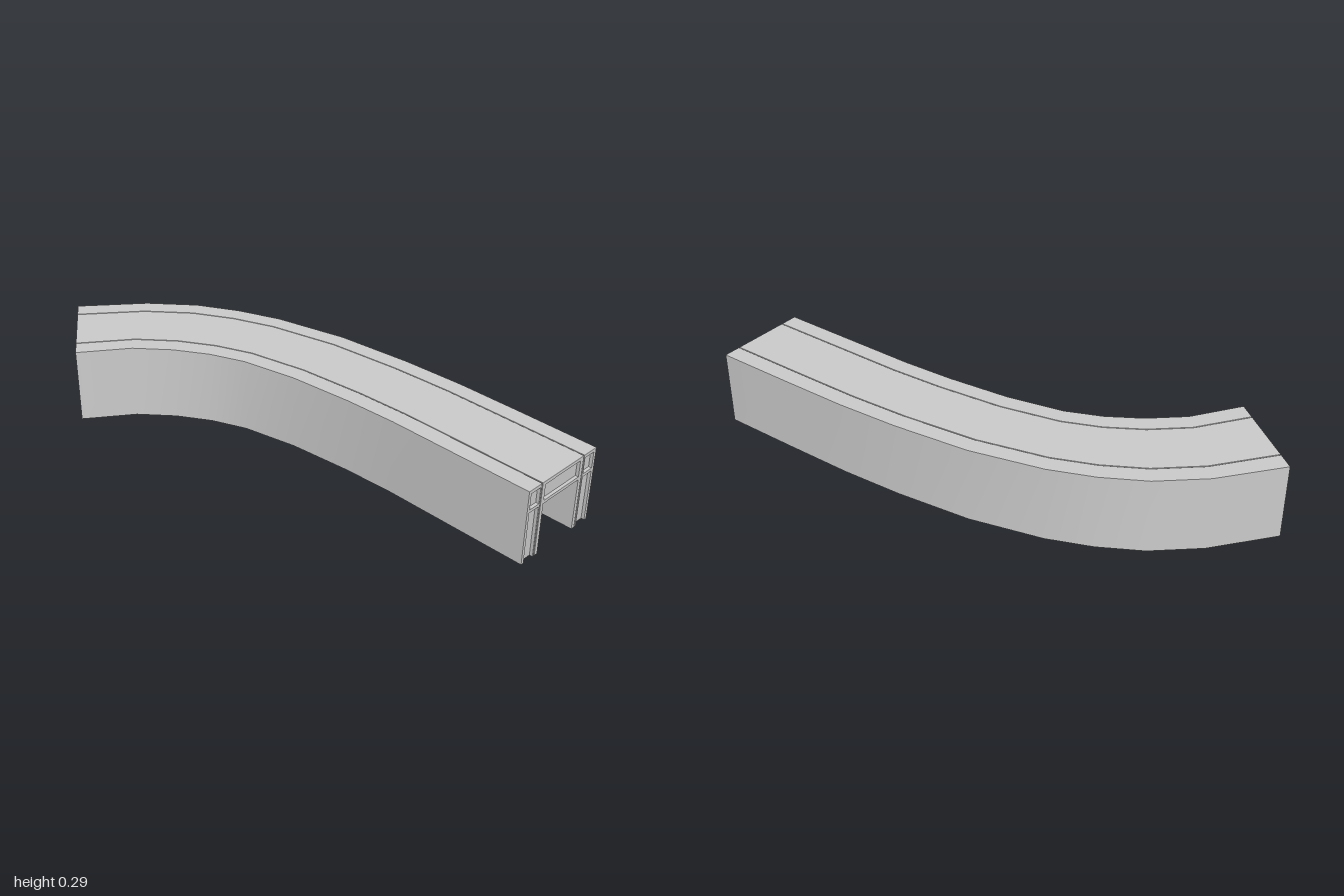
import * as THREE from 'three';

const W = 0.36, H = 0.288, D = 0.012; // section width, height, end relief depth

// Matching points [x, z] on the inner and outer edge of the bend, front to back
const inner = [[0.06, 1], [0.06, 0.7], [0.06, 0.43], [0.05, 0.23], [0.025, -0.01], [-0.02, -0.22],
  [-0.075, -0.35], [-0.15, -0.47], [-0.25, -0.585], [-0.42, -0.705]];
const outer = [[0.42, 1], [0.419, 0.7], [0.416, 0.43], [0.402, 0.19], [0.368, -0.1], [0.3, -0.37],
  [0.235, -0.53], [0.15, -0.68], [0.02, -0.83], [-0.19, -1]];

// Half of the section as [u, y]: leg, roof groove; mirrored to close the channel
const half = [[0.085, 0.2], [0.085, 0], [0, 0], [0, H], [0.066, H], [0.066, H - 0.014], [0.07, H - 0.014], [0.07, H]];
const mirror = (pts) => pts.map(([u, y]) => [W - u, y]).reverse();
const profile = [...half, ...mirror(half)];

const toShape = (pts) => new THREE.Shape(pts.map(([u, y]) => new THREE.Vector2(u, y)));
const rect = (u0, u1, y0, y1) => [[u0, y0], [u1, y0], [u1, y1], [u0, y1]];

// Sweep each profile edge along the stations: smooth lengthwise, sharp at the corners
function sweep(stations) {
  const pos = [], index = [];
  profile.forEach((a, k) => {
    const b = profile[(k + 1) % profile.length];
    const base = pos.length / 3;
    stations.forEach(([p, q], s) => {
      for (const [u, y] of [a, b]) {
        const t = u / W;
        pos.push(p[0] + (q[0] - p[0]) * t, y, p[1] + (q[1] - p[1]) * t);
      }
      if (s < stations.length - 1) {
        const i = base + s * 2;
        index.push(i, i + 1, i + 2, i + 1, i + 3, i + 2);
      }
    });
  });
  const g = new THREE.BufferGeometry();
  g.setAttribute('position', new THREE.Float32BufferAttribute(pos, 3));
  g.setIndex(index);
  g.computeVertexNormals();
  return g;
}

// End wall with raised frames around recessed panels; a, b are its left and right corners
function makeEnd(name, a, b, mat) {
  const end = new THREE.Group();
  end.name = name;
  const add = (part, geo) => {
    const m = new THREE.Mesh(geo, mat);
    m.name = part;
    end.add(m);
  };
  const raise = (shape) => new THREE.ExtrudeGeometry(shape, { depth: D, bevelEnabled: false });
  add('endPanel', new THREE.ShapeGeometry(toShape(profile)));

  // Leg frames: closed upper panel, lower panel open at the ground
  const leg = [[0, 0], [0.012, 0], [0.012, 0.2], [0.06, 0.2], [0.06, 0], [0.066, 0], [0.066, H], [0, H]];
  const window = rect(0.012, 0.06, 0.212, 0.275);
  for (const [part, f] of [['leftLegFrame', (p) => p], ['rightLegFrame', mirror]]) {
    const s = toShape(f(leg));
    s.holes.push(toShape(f(window)));
    add(part, raise(s));
  }

  // Portal frame around the opening, with the lintel panel cut out
  const portalHalf = [[0.085, 0.2], [0.085, 0], [0.07, 0], [0.07, H]];
  const portal = toShape([...portalHalf, ...mirror(portalHalf)]);
  portal.holes.push(toShape(rect(0.086, W - 0.086, 0.212, 0.275)));
  add('portalFrame', raise(portal));

  const dx = b[0] - a[0], dz = b[1] - a[1];
  end.position.set(a[0], 0, a[1]);
  end.rotation.y = Math.atan2(-dz, dx);
  end.scale.x = Math.hypot(dx, dz) / W;
  return end;
}

export function createModel() {
  const group = new THREE.Group();
  group.name = 'curvedChannel';
  const mat = new THREE.MeshStandardMaterial({ color: 0xcccccc });

  // Pull the first and last station in by the relief depth
  const stations = inner.map((p, i) => [[...p], [...outer[i]]]);
  const pullIn = ([p, q], sign) => {
    const dx = q[0] - p[0], dz = q[1] - p[1], l = Math.hypot(dx, dz);
    for (const c of [p, q]) {
      c[0] += (sign * dz / l) * D;
      c[1] -= (sign * dx / l) * D;
    }
  };
  const first = stations[0], last = stations[stations.length - 1];
  pullIn(first, 1);
  pullIn(last, -1);

  const body = new THREE.Mesh(sweep(stations), mat);
  body.name = 'channelBody';
  group.add(body);
  group.add(makeEnd('frontEnd', first[0], first[1], mat));
  group.add(makeEnd('backEnd', last[1], last[0], mat));
  return group;
}
